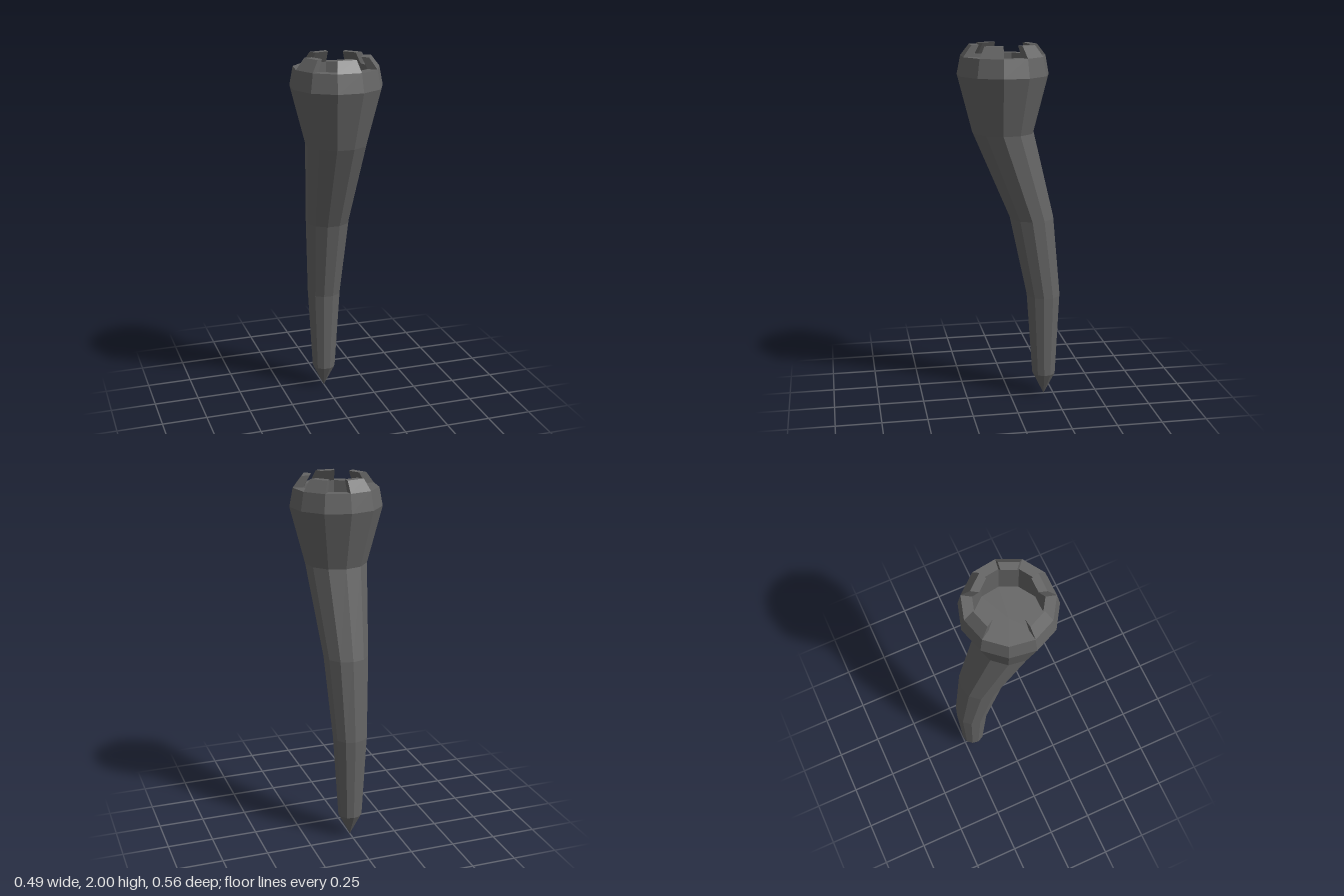
import * as THREE from 'three';

const SIDES = 11;

// One horizontal ring: radius r at height y, centred at depth z, with a corner at the back
const ring = ([y, r, z]) => Array.from({ length: SIDES }, (_, i) => {
  const a = (i / SIDES) * Math.PI * 2;
  return [r * Math.sin(a), y, z - r * Math.cos(a)];
});

const quad = (out, a, b, c, d) => out.push(...a, ...b, ...c, ...a, ...c, ...d);

function makeMesh(name, positions, material) {
  const geometry = new THREE.BufferGeometry();
  geometry.setAttribute('position', new THREE.Float32BufferAttribute(positions, 3));
  geometry.computeVertexNormals(); // unshared corners keep every facet flat
  const mesh = new THREE.Mesh(geometry, material);
  mesh.name = name;
  return mesh;
}

// Faceted skin through a list of [y, radius, z] sections
function loft(name, sections, material) {
  const rings = sections.map(ring);
  const out = [];
  for (let k = 0; k < rings.length - 1; k++) {
    const [A, B] = [rings[k], rings[k + 1]];
    for (let i = 0; i < SIDES; i++) {
      const j = (i + 1) % SIDES;
      quad(out, A[j], A[i], B[i], B[j]);
    }
  }
  return makeMesh(name, out, material);
}

export function createModel() {
  const group = new THREE.Group();
  group.name = 'curvedHandle';
  const darkGrey = new THREE.MeshStandardMaterial({ color: 0x646464 });
  darkGrey.name = 'darkGrey';

  const neck = [0.13, 0.066, -0.194];
  const rimOuter = [1.94, 0.23, 0.04];
  const rimInner = [1.94, 0.175, 0.04];

  // Pointed end
  group.add(loft('tip', [[0, 0, -0.194], neck], darkGrey));

  // Bent shaft swelling into the head
  group.add(loft('shaft', [
    neck,
    [0.6, 0.094, -0.188],
    [1.05, 0.122, -0.119],
    [1.53, 0.168, 0.041],
    [1.84, 0.249, 0.041],
    rimOuter,
  ], darkGrey));

  // Flat rim, then the hollow cup and its floor
  group.add(loft('rim', [rimOuter, rimInner], darkGrey));
  group.add(loft('cup', [rimInner, [1.74, 0.175, 0.04], [1.74, 0, 0.04]], darkGrey));

  // Teeth leaning inward on some sides of the rim
  const profile = [rimOuter, [2, 0.183, 0.04], [2, 0.14, 0.04], rimInner].map(ring);
  for (const i of [1, 3, 5, 7, 10]) {
    const j = (i + 1) % SIDES;
    const out = [];
    for (let k = 0; k < 3; k++) {
      quad(out, profile[k][j], profile[k][i], profile[k + 1][i], profile[k + 1][j]);
    }
    const [lowOut, topOut, topIn, lowIn] = profile;
    quad(out, lowOut[i], lowIn[i], topIn[i], topOut[i]);
    quad(out, lowOut[j], topOut[j], topIn[j], lowIn[j]);
    group.add(makeMesh('crownTooth', out, darkGrey));
  }

  return group;
}
